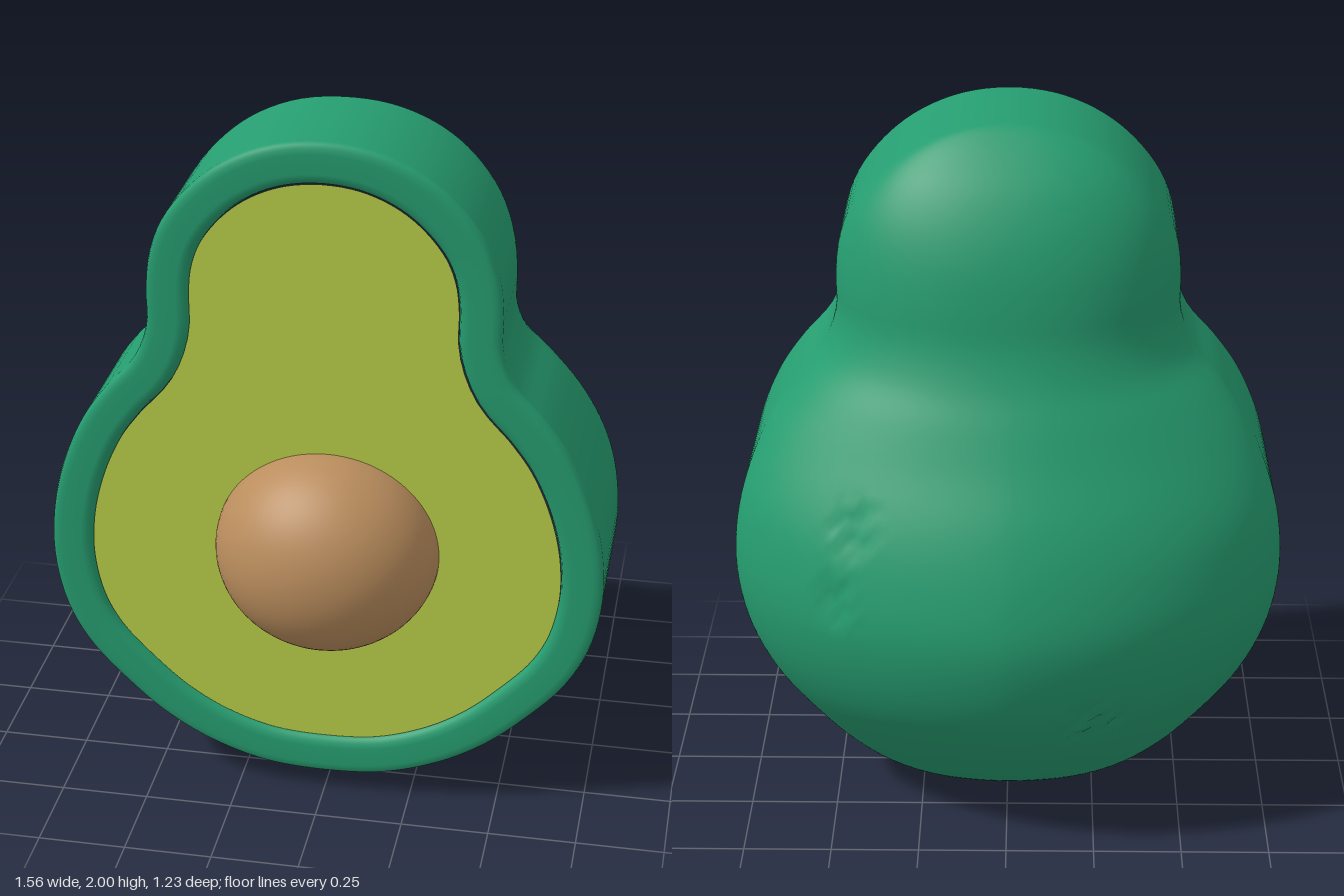
import * as THREE from 'three';
import { mergeVertices } from 'three/addons/utils/BufferGeometryUtils.js';

const FRONT = 0.37, SIDE = 0.35;   // rim face and start of the straight skin
const HALF = 90;                   // outline samples per side

// Half outline from bottom to top: half width, height, z of the back
const PROFILE = [
  [0, 0.06, -0.12], [0.17, 0.073, -0.15], [0.33, 0.125, -0.23], [0.46, 0.2, -0.32],
  [0.575, 0.3, -0.43], [0.69, 0.43, -0.54], [0.75, 0.55, -0.59], [0.78, 0.7, -0.61],
  [0.775, 0.85, -0.58], [0.74, 1.0, -0.52], [0.675, 1.15, -0.43], [0.605, 1.25, -0.375],
  [0.52, 1.35, -0.32], [0.485, 1.45, -0.285], [0.484, 1.55, -0.27], [0.472, 1.65, -0.25],
  [0.435, 1.75, -0.215], [0.36, 1.85, -0.16], [0.26, 1.93, -0.09], [0.135, 1.983, -0.03], [0, 2, 0],
];

const smooth = THREE.MathUtils.smoothstep;
const mix = THREE.MathUtils.lerp;

// Closed outline, counter-clockwise from the bottom
function makeOutline() {
  const right = PROFILE.map(([x, y, z]) => new THREE.Vector3(x, y, z));
  const left = PROFILE.slice(1, -1).reverse().map(([x, y, z]) => new THREE.Vector3(-x, y, z));
  return new THREE.CatmullRomCurve3([...right, ...left], true, 'centripetal')
    .getSpacedPoints(HALF * 2).slice(0, -1);
}

// Smooth surface from a grid of points
function gridSurface(rows, cols, pointAt) {
  const pos = [], index = [];
  for (let i = 0; i <= rows; i++) for (let j = 0; j <= cols; j++) pos.push(...pointAt(i, j));
  for (let i = 0; i < rows; i++) for (let j = 0; j < cols; j++) {
    const a = i * (cols + 1) + j, c = a + cols + 1;
    index.push(a, a + 1, c + 1, a, c + 1, c);
  }
  let geo = new THREE.BufferGeometry();
  geo.setAttribute('position', new THREE.Float32BufferAttribute(pos, 3));
  geo.setIndex(index);
  geo = mergeVertices(geo, 1e-4);
  geo.computeVertexNormals();
  return geo;
}

// Shallow wrinkled scars on the back of the skin
const SCARS = [[0.42, 0.98, -0.42, 0.085], [0.45, 0.78, -0.45, 0.08], [-0.25, 0.42, -0.5, 0.11]];
function scarDepth(x, y, z) {
  let depth = 0;
  for (const [sx, sy, sz, r] of SCARS) {
    const d = Math.hypot(x - sx, y - sy, z - sz) / r;
    const ripple = Math.sin(x * 75 + 2 * Math.sin(y * 40)) * Math.sin(y * 60 + x * 30);
    depth += (1 - smooth(d, 0.6, 1.2)) * (0.006 + 0.012 * ripple);
  }
  return depth;
}

// Skin: horizontal sections with straight sides and a rounded back
function skinGeometry(outline) {
  const straight = 12, arc = 90, cols = straight * 2 + arc;
  return gridSurface(HALF, cols, (i, j) => {
    const p = outline[i];
    const w = Math.max(0, i === HALF ? 0 : p.x);
    let zc = mix(-0.1, 0.07, smooth(p.y, 0.9, 1.45));
    zc = mix(zc, 0, smooth(p.y, 1.6, 2));
    zc = mix(-0.12, zc, smooth(p.y, 0.06, 0.3));
    const power = mix(1.75, 2.1, smooth(p.y, 1.0, 1.5));
    let x, z;
    if (j < straight || j > straight + arc) {
      const t = Math.min(j, cols - j) / straight;
      x = j < straight ? w : -w;
      z = mix(SIDE, zc, t);
    } else {
      const a = Math.PI * (j - straight) / arc, c = Math.cos(a);
      x = w * Math.sign(c) * Math.abs(c) ** (2 / power);
      z = zc + (p.z - zc) * Math.max(0, Math.sin(a)) ** (2 / power);
    }
    // The belly sags a little behind the cut half
    const y = p.y - 0.06 * smooth(-z, -0.04, 0.12) * (1 - smooth(p.y, 0.06, 0.55));
    const d = z < -0.2 ? scarDepth(x, y, z) : 0;
    const len = Math.hypot(x, z) || 1;
    return [x - d * x / len, y, z - d * z / len];
  });
}

// Outline moved inwards by a distance
function inset(outline, dist) {
  const n = outline.length;
  return outline.map((p, i) => {
    const a = outline[(i + n - 1) % n], b = outline[(i + 1) % n];
    const tx = b.x - a.x, ty = b.y - a.y, len = Math.hypot(tx, ty);
    return new THREE.Vector2(p.x - ty / len * dist, p.y + tx / len * dist);
  });
}

// Rim: rounded lip from the skin to the flesh
function rimGeometry(outline) {
  const steps = [[0, SIDE], [0.004, 0.362], [0.014, 0.369], [0.03, FRONT], [0.085, FRONT],
    [0.102, 0.366], [0.112, 0.358], [0.118, 0.34]];
  const loops = steps.map(([d]) => inset(outline, d));
  return gridSurface(steps.length - 1, outline.length, (i, j) => {
    const p = loops[i][j % outline.length];
    return [p.x, p.y, steps[i][1]];
  });
}

export function createModel() {
  const skinMat = new THREE.MeshStandardMaterial({ color: 0x269d70 });
  skinMat.name = 'green skin';
  const fleshMat = new THREE.MeshStandardMaterial({ color: 0xb8ce48 });
  fleshMat.name = 'yellow green flesh';
  const seedMat = new THREE.MeshStandardMaterial({ color: 0xba8d5d });
  seedMat.name = 'brown seed';

  const group = new THREE.Group();
  group.name = 'avocadoHalf';
  const add = (name, geo, mat) => {
    const mesh = new THREE.Mesh(geo, mat);
    mesh.name = name;
    group.add(mesh);
    return mesh;
  };

  const outline = makeOutline();
  add('skin', skinGeometry(outline), skinMat);
  add('rim', rimGeometry(outline), skinMat);

  // Flat cut face
  const flesh = new THREE.ShapeGeometry(new THREE.Shape(inset(outline, 0.118)));
  add('flesh', flesh, fleshMat).position.z = 0.352;

  // Stone
  const seed = add('seed', new THREE.SphereGeometry(1, 64, 40), seedMat);
  seed.scale.set(0.315, 0.295, 0.27);
  seed.position.set(0.01, 0.8, 0.345);
  return group;
}
